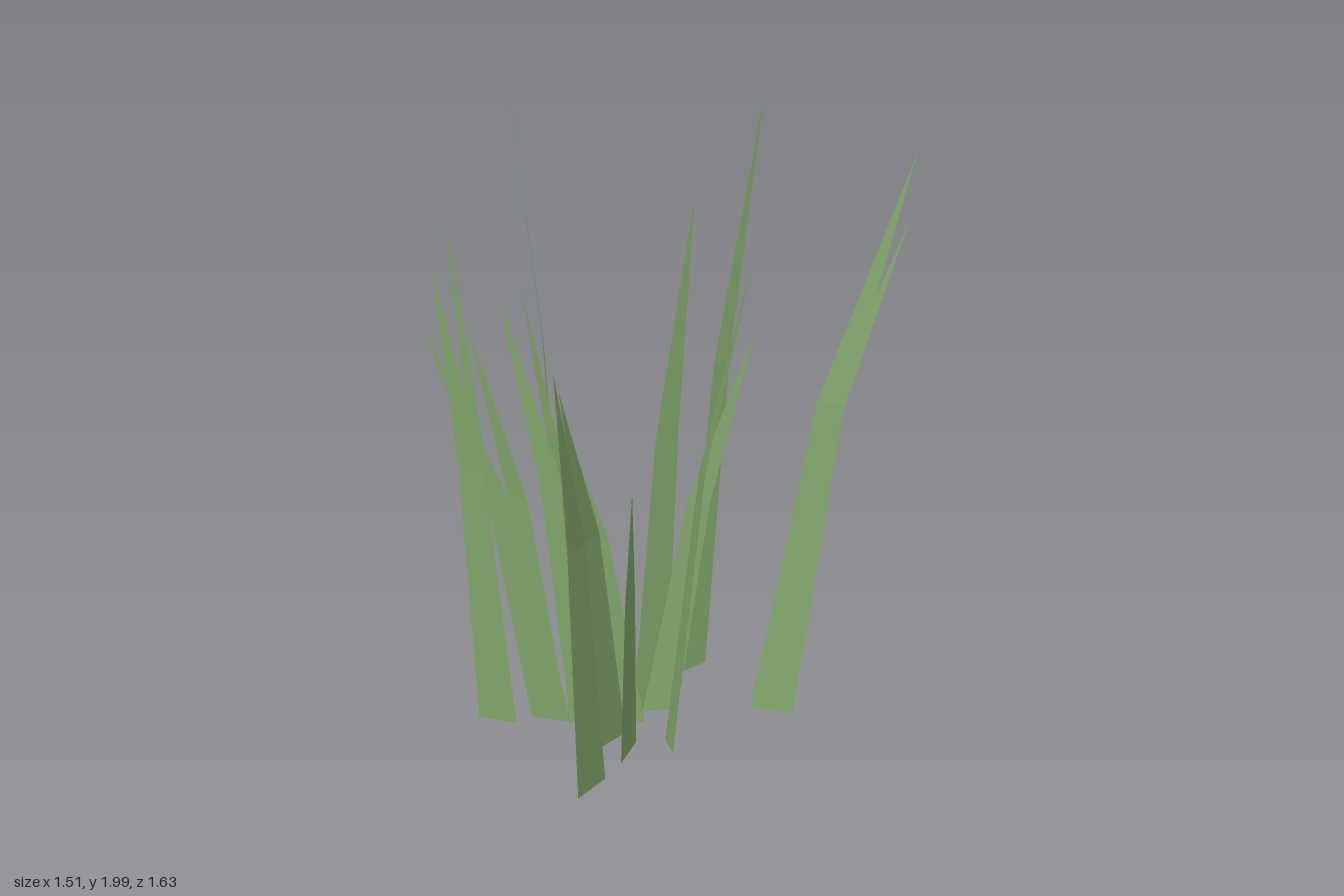
import * as THREE from 'three';

// Each blade: base corner A (x, z), base corner B (x, z), tip (x, y, z)
const BLADES = [
  // back
  [-0.365, -0.32, -0.30, -0.245, -0.755, 1.82, -0.54],
  [0.07, -0.46, 0.045, -0.37, 0.035, 1.86, -0.82],
  [0.40, -0.405, 0.32, -0.36, 0.655, 1.67, -0.745],
  [0.475, -0.365, 0.35, -0.32, 0.755, 1.99, -0.645],
  [0.17, -0.175, 0.09, -0.10, 0.28, 1.29, -0.44],
  [0.115, -0.19, 0.07, -0.075, 0.11, 1.75, -0.35],
  // left
  [0.32, 0.055, 0.25, 0.0, 0.69, 1.94, 0.145],
  [0.225, 0.20, 0.185, 0.065, 0.46, 1.18, 0.465],
  [0.245, 0.455, 0.24, 0.305, 0.41, 1.76, 0.815],
  [0.115, 0.17, 0.125, 0.04, 0.245, 1.52, 0.56],
  // right
  [-0.11, -0.02, 0.0, 0.0, -0.28, 1.46, 0.035],
  [-0.37, 0.105, -0.285, 0.105, -0.48, 1.69, 0.16],
  [-0.20, 0.065, -0.09, 0.055, -0.395, 1.36, 0.165],
  [-0.17, 0.13, -0.05, 0.085, -0.45, 1.37, 0.305],
  [-0.30, 0.23, -0.185, 0.19, -0.41, 1.64, 0.335],
  [-0.05, 0.09, 0.05, 0.03, -0.235, 1.51, 0.21],
  [0.0, 0.0, 0.135, -0.05, -0.11, 1.19, 0.11],
];

// A flat blade with one bend: wide base, narrower middle, pointed tip
function bladeGeometry([ax, az, bx, bz, tx, ty, tz]) {
  const a = new THREE.Vector3(ax, 0, az);
  const b = new THREE.Vector3(bx, 0, bz);
  const tip = new THREE.Vector3(tx, ty, tz);
  const centre = a.clone().add(b).multiplyScalar(0.5);
  const mid = centre.clone().lerp(tip, 0.4).setY(ty * 0.55);
  const half = b.clone().sub(a).multiplyScalar(0.5 * 0.66);
  const ma = mid.clone().sub(half);
  const mb = mid.clone().add(half);
  const g = new THREE.BufferGeometry().setFromPoints([a, b, mb, a, mb, ma, ma, mb, tip]);
  g.computeVertexNormals();
  return g;
}

export function createModel() {
  const group = new THREE.Group();
  group.name = 'grassTuft';
  const green = new THREE.MeshStandardMaterial({ color: 0x82a56b, side: THREE.DoubleSide, flatShading: true });
  green.name = 'grassGreen';
  BLADES.forEach((blade, i) => {
    const mesh = new THREE.Mesh(bladeGeometry(blade), green);
    mesh.name = `grassBlade${i + 1}`;
    group.add(mesh);
  });
  return group;
}
